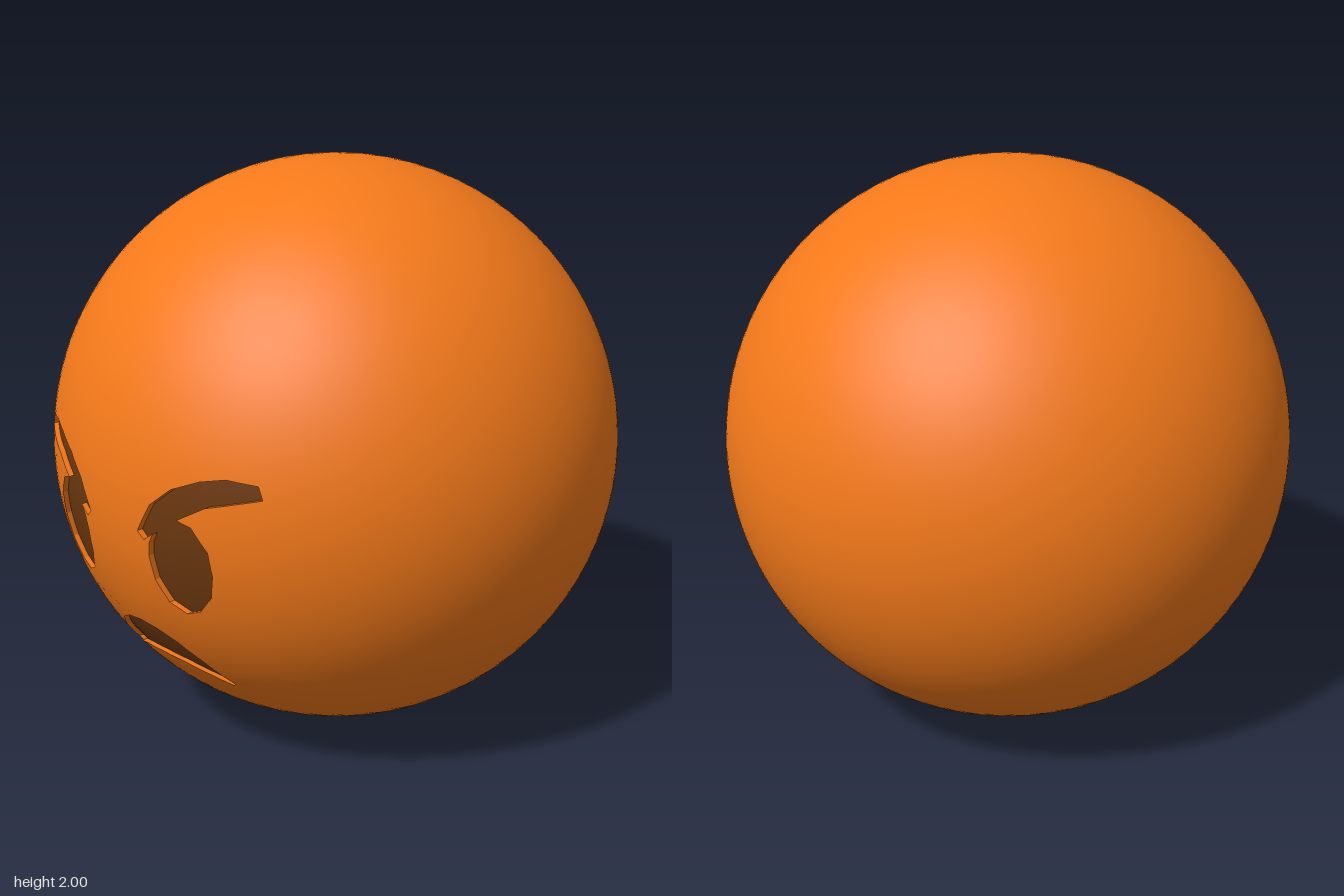
import * as THREE from 'three';

const SEGMENTS = 96;     // around the ball
const CAP_RADIUS = 0.8;  // front region that carries the carved face
const DEPTH = 0.02;      // how deep the face is carved
const STEP = 0.06;       // longest edge on the curved face

// Outlines relative to the ball centre
const eyeAndBrow = [
  [0.123, -0.063], [0.147, -0.088], [0.187, -0.06], [0.168, -0.095], [0.16, -0.14], [0.166, -0.225],
  [0.2, -0.3], [0.257, -0.33], [0.31, -0.31], [0.365, -0.245], [0.385, -0.165], [0.38, -0.085],
  [0.33, -0.01], [0.28, 0.005], [0.375, 0.06], [0.466, 0.085], [0.54, 0.105], [0.525, 0.147],
  [0.434, 0.157], [0.355, 0.14], [0.26, 0.1], [0.18, 0.035],
];
const halfMouth = [
  [0, -0.58], [0.1, -0.59], [0.18, -0.62], [0.246, -0.657], [0.257, -0.645],
  [0.204, -0.55], [0.145, -0.485], [0.075, -0.45], [0, -0.4375],
];

const mirror = (pts) => pts.map(([x, y]) => [-x, y]).reverse();

// Split every outline edge into short pieces
function refine(pts) {
  return pts.flatMap(([x, y], i) => {
    const a = new THREE.Vector2(x, y);
    const b = new THREE.Vector2(...pts[(i + 1) % pts.length]);
    const n = Math.ceil(a.distanceTo(b) / 0.04);
    return Array.from({ length: n }, (_, k) => a.clone().lerp(b, k / n));
  });
}

const onBall = (p) => Math.sqrt(1 - p.x * p.x - p.y * p.y);

// Fill a flat shape with small triangles and bulge it onto the ball
function curvedPatch(shape, depth) {
  const flat = new THREE.ShapeGeometry(shape);
  const pos = flat.attributes.position;
  const index = flat.index.array;
  const stack = [];
  for (let i = 0; i < index.length; i += 3) {
    stack.push([0, 1, 2].map((k) => new THREE.Vector2(pos.getX(index[i + k]), pos.getY(index[i + k]))));
  }
  const positions = [], normals = [];
  while (stack.length) {
    const tri = stack.pop();
    const lengths = tri.map((p, k) => p.distanceTo(tri[(k + 1) % 3]));
    const longest = Math.max(...lengths);
    if (longest > STEP) {
      const k = lengths.indexOf(longest);
      const a = tri[k], b = tri[(k + 1) % 3], c = tri[(k + 2) % 3];
      const mid = a.clone().add(b).multiplyScalar(0.5);
      stack.push([a, mid, c], [mid, b, c]);
    } else {
      for (const p of tri) {
        const z = onBall(p);
        positions.push(p.x, p.y, z - depth);
        normals.push(p.x, p.y, z);
      }
    }
  }
  const geo = new THREE.BufferGeometry();
  geo.setAttribute('position', new THREE.Float32BufferAttribute(positions, 3));
  geo.setAttribute('normal', new THREE.Float32BufferAttribute(normals, 3));
  return geo;
}

// Side wall between the outline on the ball and the carved floor
function carvedWall(pts) {
  const positions = [];
  pts.forEach((a, i) => {
    const b = pts[(i + 1) % pts.length];
    const za = onBall(a), zb = onBall(b);
    const quad = [[a, za], [b, zb], [b, zb - DEPTH], [a, za], [b, zb - DEPTH], [a, za - DEPTH]];
    for (const [p, z] of quad) positions.push(p.x, p.y, z);
  });
  const geo = new THREE.BufferGeometry();
  geo.setAttribute('position', new THREE.Float32BufferAttribute(positions, 3));
  geo.computeVertexNormals();
  return geo;
}

export function createModel() {
  const group = new THREE.Group();
  group.name = 'angryFaceBall';
  const orange = new THREE.MeshStandardMaterial({ color: 0xf4791a });
  const wallOrange = new THREE.MeshStandardMaterial({ color: 0xf4791a, side: THREE.DoubleSide });
  const brown = new THREE.MeshStandardMaterial({ color: 0x6b380f });

  const add = (name, geometry, material) => {
    const mesh = new THREE.Mesh(geometry, material);
    mesh.name = name;
    mesh.position.y = 1;
    group.add(mesh);
  };

  const features = {
    leftEyeAndBrow: refine(eyeAndBrow),
    rightEyeAndBrow: refine(mirror(eyeAndBrow)),
    mouth: refine([...halfMouth, ...mirror(halfMouth).slice(1, -1)]),
  };

  // Ball, open at the front
  const start = Math.asin(CAP_RADIUS);
  const ball = new THREE.SphereGeometry(1, SEGMENTS, 64, 0, Math.PI * 2, start, Math.PI - start);
  add('ball', ball.rotateX(Math.PI / 2), orange);

  // Front of the ball with openings for the face
  const rim = Array.from({ length: SEGMENTS }, (_, i) => {
    const t = (i / SEGMENTS) * Math.PI * 2;
    return new THREE.Vector2(Math.cos(t) * CAP_RADIUS, Math.sin(t) * CAP_RADIUS);
  });
  const front = new THREE.Shape(rim);
  front.holes = Object.values(features).map((pts) => new THREE.Path(pts));
  add('ballFront', curvedPatch(front, 0), orange);

  // Carved eyes, brows and mouth
  for (const [name, pts] of Object.entries(features)) {
    add(name, curvedPatch(new THREE.Shape(pts), DEPTH), brown);
    add(name + 'Wall', carvedWall(pts), wallOrange);
  }
  return group;
}
